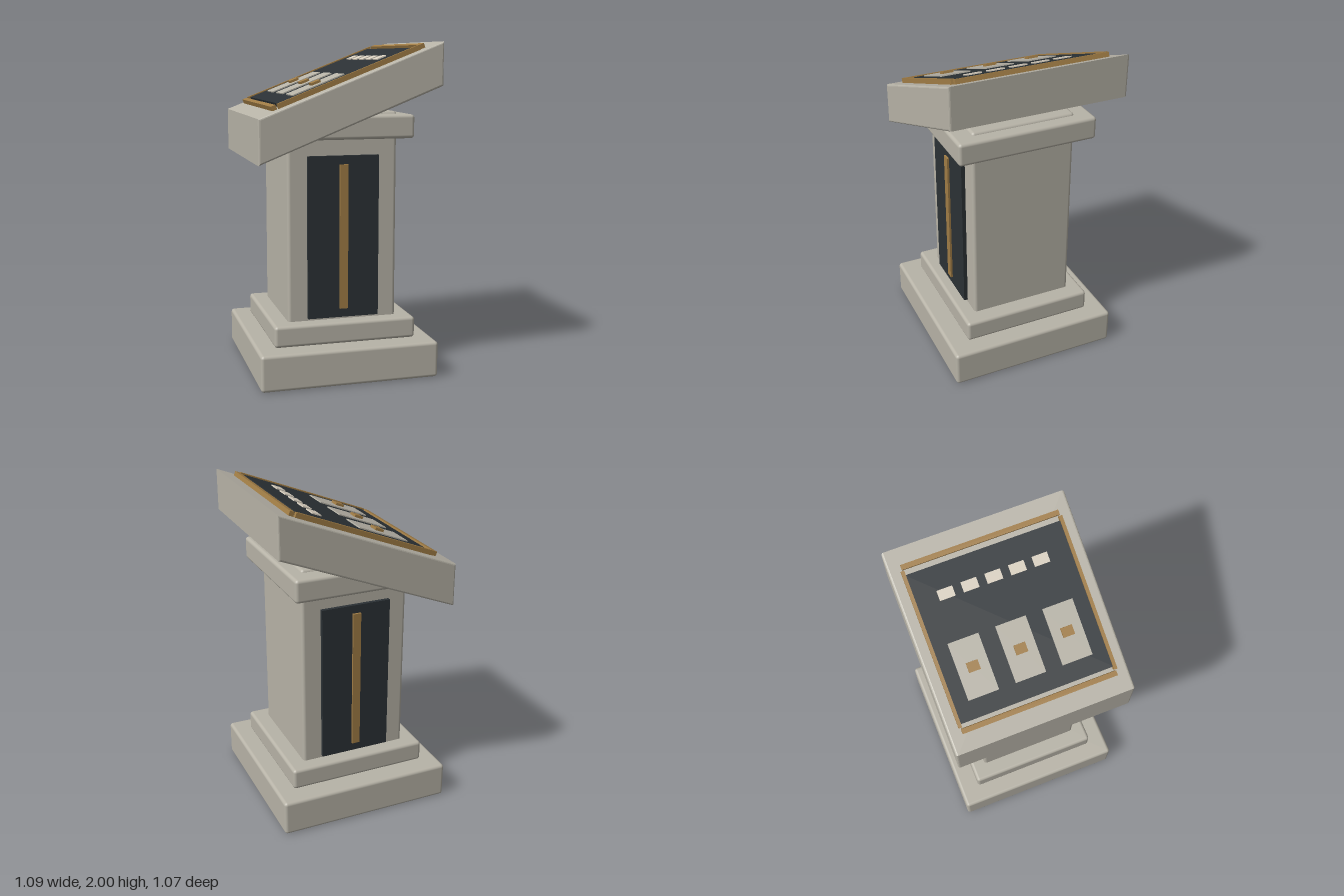
import * as THREE from 'three';
import { RoundedBoxGeometry } from 'three/addons/geometries/RoundedBoxGeometry.js';

const material = (color) => new THREE.MeshStandardMaterial({ color });

export function createModel() {
  const model = new THREE.Group();
  model.name = 'consolePedestal';
  const stone = material(0xb7b3a7);
  const dark = material(0x2b3135);
  const brass = material(0xa07c45);
  const ivory = material(0xd9d0c0);

  const add = (parent, name, geometry, mat, x, y, z) => {
    const mesh = new THREE.Mesh(geometry, mat);
    mesh.name = name;
    mesh.position.set(x, y, z);
    parent.add(mesh);
    return mesh;
  };

  // Stacked stone blocks: name, width, depth, bottom, top, edge radius
  const blocks = [
    ['base', 1.085, 1.065, 0, 0.22, 0.02],
    ['step', 0.87, 0.82, 0.22, 0.35, 0.02],
    ['column', 0.67, 0.645, 0.33, 1.595, 0.02],
    ['cap', 0.82, 0.86, 1.44, 1.58, 0.02],
  ];
  for (const [name, w, d, y0, y1, r] of blocks) {
    add(model, name, new RoundedBoxGeometry(w, y1 - y0, d, 3, r), stone, 0, (y0 + y1) / 2, 0);
  }

  // Dark panel with a brass strip on the front and back of the column
  for (const side of [1, -1]) {
    const face = side > 0 ? 'front' : 'back';
    add(model, face + 'Panel', new THREE.BoxGeometry(0.435, 0.975, 0.03), dark, 0, 0.853, side * 0.331);
    add(model, face + 'Strip', new THREE.BoxGeometry(0.05, 0.87, 0.02), brass, 0, 0.855, side * 0.349);
  }

  // Slanted head with upright ends and softened edges
  const bevel = 0.012;
  const profile = new THREE.Shape([
    new THREE.Vector2(-0.543, 1.315),
    new THREE.Vector2(0.543, 1.747),
    new THREE.Vector2(0.543, 2.0),
    new THREE.Vector2(-0.543, 1.575),
  ]);
  const depth = 1.065 - 2 * bevel;
  const headGeometry = new THREE.ExtrudeGeometry(profile, {
    depth, bevelEnabled: true, bevelSize: bevel, bevelThickness: bevel,
    bevelOffset: -bevel, bevelSegments: 3,
  });
  add(model, 'head', headGeometry, stone, 0, 0, -depth / 2);

  // Controls lie on the slope; x and z are measured in plan
  const controls = new THREE.Group();
  controls.name = 'controls';
  const slope = Math.atan2(0.425, 1.086);
  controls.position.set(0, 1.7875, 0);
  controls.rotation.z = slope;
  model.add(controls);
  const cos = Math.cos(slope);
  const tile = (name, mat, x, z, w, d, bottom, top) => {
    const mid = (bottom + top) / 2;
    const along = (x + mid * Math.sin(slope)) / cos;
    add(controls, name, new THREE.BoxGeometry(w / cos, top - bottom, d), mat, along, mid, z);
  };

  tile('controlPanel', dark, -0.002, 0, 0.795, 0.905, -0.005, 0.022);

  // Brass border
  for (const s of [1, -1]) {
    tile('sideTrim', brass, s * 0.437, 0, 0.027, 0.915, -0.005, 0.027);
    tile('edgeTrim', brass, 0, s * 0.458, 0.835, 0.02, -0.005, 0.029);
  }

  // Three plates, each with a brass button
  for (let i = -1; i <= 1; i++) {
    const z = i * 0.276 - 0.002;
    tile('plate', stone, -0.155, z, 0.305, 0.178, 0.015, 0.029);
    tile('button', brass, -0.155, z, 0.052, 0.067, 0.02, 0.043);
  }

  // Row of five keys
  for (let i = -2; i <= 2; i++) {
    tile('key', ivory, 0.238, i * 0.138 - 0.003, 0.054, 0.09, 0.015, 0.029);
  }
  return model;
}
